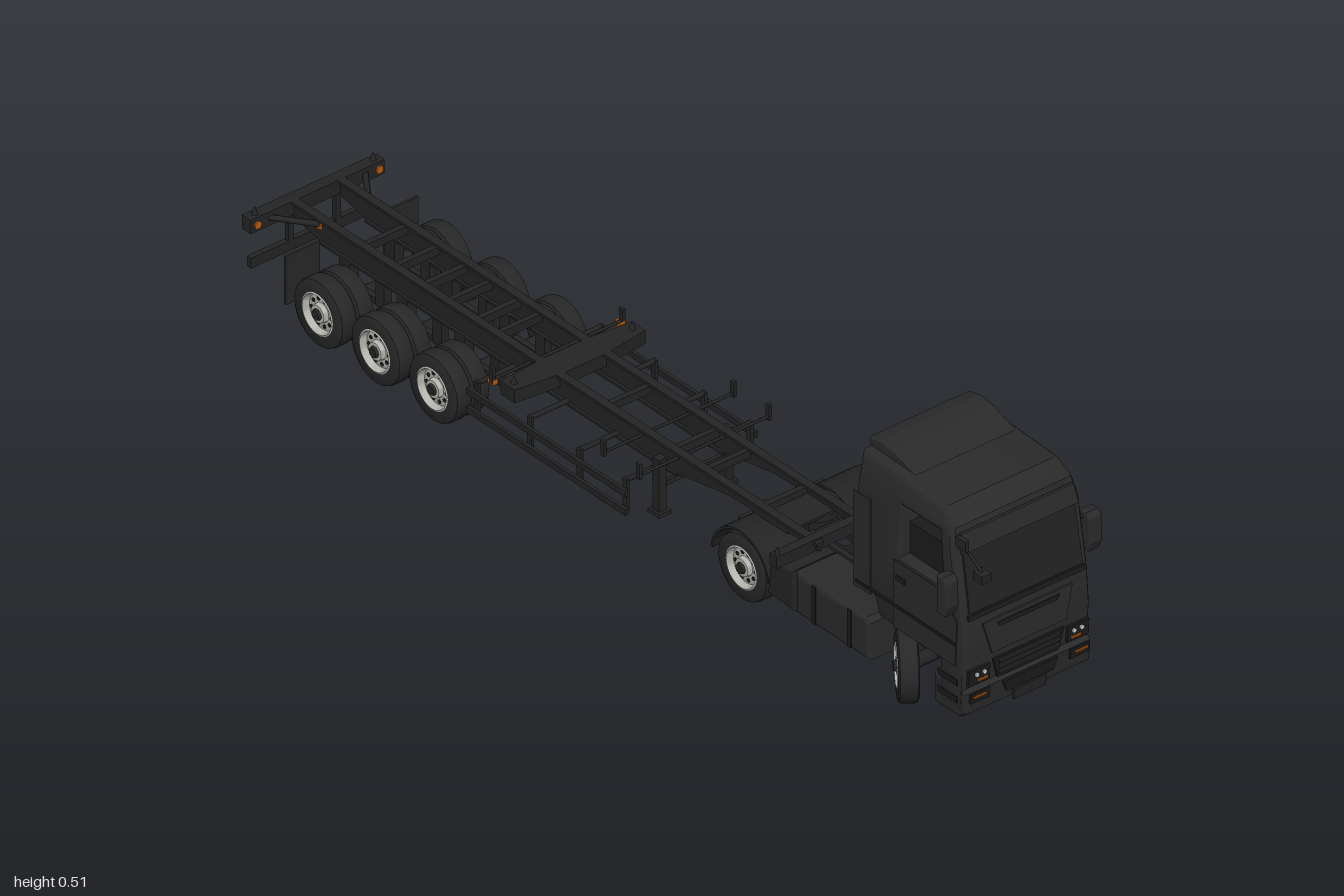
import * as THREE from 'three';
import { toCreasedNormals } from 'three/addons/utils/BufferGeometryUtils.js';

const mat = (name, color, side = THREE.FrontSide) => {
  const m = new THREE.MeshStandardMaterial({ color, side });
  m.name = name;
  return m;
};
const body = mat('charcoal paint', 0x2a2a2a);
const frame = mat('chassis black', 0x242424);
const rubber = mat('tyre rubber', 0x272727);
const glass = mat('dark glass', 0x222222);
const trim = mat('black trim', 0x1b1b1b);
const alloy = mat('wheel metal', 0xb4b4ad, THREE.DoubleSide);
const lamp = mat('lamp white', 0xd4d4d4);
const amber = mat('amber lens', 0xb8590f);

function add(parent, name, geo, material) {
  const m = new THREE.Mesh(geo, material);
  m.name = name;
  parent.add(m);
  return m;
}
function box(parent, name, material, x0, x1, y0, y1, z0, z1) {
  const g = new THREE.BoxGeometry(x1 - x0, y1 - y0, z1 - z0);
  g.translate((x0 + x1) / 2, (y0 + y1) / 2, (z0 + z1) / 2);
  return add(parent, name, g, material);
}
// the same box on both sides of the group's centre line
function pair(parent, name, material, x0, x1, y0, y1, z0, z1) {
  box(parent, name, material, x0, x1, y0, y1, z0, z1);
  box(parent, name, material, x0, x1, y0, y1, -z1, -z0);
}
function shapeOf(pts) {
  return new THREE.Shape(pts.map(p => new THREE.Vector2(...p)));
}
// side profile in x and y, extruded across z
function slab(pts, z0, z1, bevel = 0, hole) {
  const s = shapeOf(pts);
  if (hole) s.holes.push(shapeOf(hole));
  const g = new THREE.ExtrudeGeometry(s, {
    depth: z1 - z0 - 2 * bevel, bevelEnabled: bevel > 0, bevelSize: bevel,
    bevelThickness: bevel, bevelOffset: -bevel, bevelSegments: 3, curveSegments: 10,
  });
  return g.translate(0, 0, z0 + bevel);
}
function rod(parent, name, material, a, b, r) {
  const path = new THREE.LineCurve3(new THREE.Vector3(...a), new THREE.Vector3(...b));
  return add(parent, name, new THREE.TubeGeometry(path, 1, r, 8), material);
}

// wheel with one or two tyres; outward axis is z * side
function wheel(parent, name, x, z, side, yaw = 0, dual = false) {
  const g = new THREE.Group();
  g.name = name;
  const w = 0.0195;
  const tyre = [[0.043, -w], [0.062, -w], [0.068, -w * 0.85], [0.07, -w * 0.55],
    [0.07, w * 0.55], [0.068, w * 0.85], [0.062, w], [0.043, w]];
  const rim = [[0.034, -0.017], [0.044, -0.018], [0.04, 0], [0.044, 0.0195], [0.041, 0.021],
    [0.037, 0.007], [0.032, 0.009], [0.02, 0.009], [0.018, 0.019], [0, 0.02]];
  const lathe = pts => new THREE.LatheGeometry(pts.map(p => new THREE.Vector2(...p)), 32);
  const spin = new THREE.Group();
  add(spin, 'tyre', toCreasedNormals(lathe(tyre), 0.6), rubber);
  if (dual) add(spin, 'innerTyre', toCreasedNormals(lathe(tyre), 0.6).translate(0, -0.041, 0), rubber);
  add(spin, 'rim', toCreasedNormals(lathe(rim), 0.6), alloy);
  add(spin, 'hubCap', new THREE.CylinderGeometry(0.01, 0.012, 0.006, 16).translate(0, 0.022, 0), frame);
  for (let i = 0; i < 10; i++) {
    const a = i * Math.PI / 5;
    const hole = new THREE.CylinderGeometry(0.0042, 0.0042, 0.004, 10);
    add(spin, 'rimHole', hole.translate(Math.cos(a) * 0.028, 0.0085, Math.sin(a) * 0.028), trim);
  }
  spin.rotation.x = side * Math.PI / 2;
  g.add(spin);
  g.position.set(x, 0.07, z);
  g.rotation.y = yaw;
  parent.add(g);
}

// x of the cab's front at a given height
const FRONT = [[0.04, 0.968], [0.18, 0.975], [0.25, 0.97], [0.4, 0.944], [0.44, 0.934], [0.47, 0.9]];
function frontX(y) {
  for (let i = 1; i < FRONT.length; i++) {
    const [a, xa] = FRONT[i - 1], [b, xb] = FRONT[i];
    if (y <= b) return xa + (xb - xa) * (y - a) / (b - a);
  }
  return 0.9;
}
// thin panel on the cab's front, outline in z and y
function frontPanel(parent, name, material, pts, lift = 0.004) {
  const g = new THREE.ExtrudeGeometry(shapeOf(pts), { depth: 0.006, bevelEnabled: false });
  const p = g.attributes.position;
  for (let i = 0; i < p.count; i++) {
    const x = p.getX(i), y = p.getY(i);
    p.setXYZ(i, frontX(y) + p.getZ(i) - 0.006 + lift, y, -x);
  }
  g.computeVertexNormals();
  add(parent, name, g, material);
}
const trap = (wb, wt, y0, y1) => [[-wb, y0], [wb, y0], [wt, y1], [-wt, y1]];
const rect = (z0, z1, y0, y1) => [[z0, y0], [z1, y0], [z1, y1], [z0, y1]];

function buildCab(t) {
  // shell with wheel arch and open door windows, narrowed towards the roof
  const outline = [[0.665, 0.19], [0.715, 0.19], [0.73, 0.15], [0.9, 0.15], [0.9, 0.06],
    [0.966, 0.06], [0.975, 0.18], [0.97, 0.25], [0.944, 0.4], [0.934, 0.44], [0.9, 0.468],
    [0.78, 0.475], [0.665, 0.475], [0.665, 0.4]];
  const shell = slab(outline, -0.15, 0.15, 0.012, [[0.79, 0.31], [0.79, 0.418], [0.895, 0.418], [0.91, 0.31]]);
  const p = shell.attributes.position;
  for (let i = 0; i < p.count; i++) {
    const k = Math.max(0, p.getY(i) - 0.4) / 0.075;
    p.setZ(i, p.getZ(i) * (1 - 0.1 * k));
  }
  shell.computeVertexNormals();
  add(t, 'cabShell', toCreasedNormals(shell, 0.5), body);
  box(t, 'cabInterior', trim, 0.78, 0.92, 0.3, 0.378, -0.125, 0.125);

  // roof air deflector
  add(t, 'roofDeflector', slab([[0.67, 0.48], [0.8, 0.48], [0.735, 0.502], [0.7, 0.506], [0.67, 0.5]], -0.12, 0.12, 0.005), body);
  pair(t, 'deflectorFoot', frame, 0.68, 0.77, 0.47, 0.485, 0.09, 0.11);

  // windscreen, visor and front panels
  frontPanel(t, 'windscreen', glass, trap(0.134, 0.132, 0.27, 0.389));
  frontPanel(t, 'sunVisor', body, trap(0.137, 0.133, 0.392, 0.43), 0.009);
  frontPanel(t, 'wiperCover', trim, rect(-0.138, 0.138, 0.256, 0.266));
  frontPanel(t, 'bonnetPanel', body, trap(0.088, 0.106, 0.172, 0.24));
  frontPanel(t, 'bonnetSlot', trim, trap(0.068, 0.074, 0.222, 0.231), 0.006);
  frontPanel(t, 'grille', trim, trap(0.072, 0.084, 0.112, 0.156));
  for (const y of [0.122, 0.134, 0.146]) frontPanel(t, 'grilleBar', body, rect(-0.072, 0.072, y, y + 0.005), 0.008);

  // bumper and lamps
  const bumper = [[0.885, 0.045], [0.955, 0.045], [0.975, 0.06], [0.979, 0.105], [0.97, 0.112], [0.885, 0.112]];
  add(t, 'bumper', slab(bumper, -0.148, 0.148, 0.008), body);
  frontPanel(t, 'bumperIntake', trim, trap(0.055, 0.065, 0.078, 0.102), 0.012);
  frontPanel(t, 'bumperPlate', frame, rect(-0.038, 0.038, 0.052, 0.074), 0.012);
  for (const s of [-1, 1]) {
    frontPanel(t, 'headlampHousing', trim, rect(s * 0.117 - 0.025, s * 0.117 + 0.025, 0.118, 0.152), 0.005);
    frontPanel(t, 'fogLampHousing', trim, rect(s * 0.118 - 0.023, s * 0.118 + 0.023, 0.083, 0.104), 0.011);
    frontPanel(t, 'indicator', amber, rect(s * 0.11 - 0.012, s * 0.11 + 0.012, 0.1245, 0.1285), 0.008);
    frontPanel(t, 'fogIndicator', amber, rect(s * 0.12 - 0.015, s * 0.12 + 0.015, 0.094, 0.0975), 0.014);
    for (const z of [0.106, 0.124]) {
      const c = new THREE.CylinderGeometry(0.0045, 0.0045, 0.004, 16).rotateZ(Math.PI / 2);
      add(t, 'headlamp', c.translate(0.979, 0.14, s * z), lamp);
    }
    // mirrors
    const m = slab([[0.936, 0.28], [0.958, 0.278], [0.966, 0.3], [0.964, 0.35], [0.955, 0.362], [0.936, 0.36]], -0.0155, 0.0155, 0.005);
    add(t, 'sideMirror', m.translate(0, 0, s * 0.17), body);
    for (const y of [0.29, 0.35]) rod(t, 'mirrorArm', frame, [0.935, y, s * 0.14], [0.947, y, s * 0.165], 0.004);
    // door panel, handle, steps and arch lip
    const z0 = s > 0 ? 0.149 : -0.152;
    add(t, 'door', slab([[0.775, 0.155], [0.95, 0.155], [0.955, 0.25], [0.915, 0.3], [0.775, 0.3]], z0, z0 + 0.003), body);
    box(t, 'doorHandle', trim, 0.785, 0.81, 0.262, 0.272, s * 0.152 - 0.003, s * 0.152 + 0.003);
    box(t, 'sideTrim', trim, 0.67, 0.95, 0.2, 0.206, s * 0.152 - 0.002, s * 0.152 + 0.002);
    for (const y of [0.078, 0.115]) box(t, 'entryStep', trim, 0.9, 0.955, y, y + 0.012, s * 0.149 - 0.003, s * 0.149 + 0.003);
    add(t, 'sideFairing', slab([[0.662, 0.19], [0.71, 0.19], [0.71, 0.395], [0.662, 0.395]], z0, z0 + 0.003), body);
  }
  rod(t, 'kerbMirrorArm', frame, [0.94, 0.4, 0.122], [0.985, 0.362, 0.118], 0.003);
  box(t, 'kerbMirror', frame, 0.972, 0.998, 0.344, 0.362, 0.106, 0.128);
  box(t, 'topMirror', frame, 0.94, 0.968, 0.405, 0.428, 0.134, 0.142);
}

function buildTractor() {
  const t = new THREE.Group();
  t.name = 'tractor';
  t.position.z = -0.007;
  buildCab(t);
  // chassis
  pair(t, 'chassisRail', frame, 0.275, 0.93, 0.09, 0.132, 0.034, 0.046);
  for (const x of [0.28, 0.4, 0.52, 0.64]) box(t, 'crossMember', frame, x, x + 0.015, 0.095, 0.128, -0.04, 0.04);
  box(t, 'engine', frame, 0.68, 0.93, 0.07, 0.19, -0.07, 0.07);
  rod(t, 'driveShaft', frame, [0.35, 0.075, 0], [0.7, 0.1, 0], 0.01);
  for (const x of [0.35, 0.79]) rod(t, 'axle', frame, [x, 0.07, -0.125], [x, 0.07, 0.125], 0.014);
  add(t, 'differential', new THREE.SphereGeometry(0.032, 16, 10).translate(0.35, 0.072, 0), frame);
  // fifth wheel
  add(t, 'fifthWheel', new THREE.CylinderGeometry(0.05, 0.05, 0.012, 24).translate(0.37, 0.15, 0), frame);
  box(t, 'fifthWheelBase', frame, 0.33, 0.41, 0.13, 0.148, -0.045, 0.045);
  // side tanks and boxes
  const tank = slab([[0.51, 0.055], [0.72, 0.055], [0.72, 0.135], [0.71, 0.145], [0.51, 0.145]], -0.053, 0.053, 0.01);
  const locker = slab([[0.43, 0.06], [0.505, 0.055], [0.505, 0.143], [0.44, 0.143]], -0.052, 0.052, 0.006);
  for (const s of [-1, 1]) {
    add(t, 'fuelTank', tank.clone().translate(0, 0, s * 0.11), body);
    add(t, 'sideLocker', locker.clone().translate(0, 0, s * 0.11), frame);
    for (const x of [0.56, 0.66]) box(t, 'tankStrap', trim, x, x + 0.01, 0.06, 0.14, s * 0.163 - 0.002, s * 0.163 + 0.002);
    // rear mudguard arcs
    const arc = [];
    for (let i = 0; i <= 12; i++) arc.push([0.083, 0.1 + i / 12 * (Math.PI - 0.2)]);
    for (let i = 12; i >= 0; i--) arc.push([0.078, 0.1 + i / 12 * (Math.PI - 0.2)]);
    const pts = arc.map(([r, a]) => [0.35 + r * Math.cos(a), 0.07 + r * Math.sin(a)]);
    add(t, 'mudguard', slab(pts, s * 0.107 - 0.052, s * 0.107 + 0.052), frame);
    wheel(t, 'rearWheel', 0.35, s * 0.136, s, 0, true);
    wheel(t, 'frontWheel', 0.79, s * 0.132, s, -0.62);
    box(t, 'tailLamp', amber, 0.268, 0.274, 0.1, 0.115, s * 0.075 - 0.02, s * 0.075 + 0.02);
  }
  box(t, 'tailBar', frame, 0.274, 0.284, 0.095, 0.12, -0.1, 0.1);
  // air lines behind the cab
  rod(t, 'airLine', frame, [0.66, 0.2, 0.02], [0.52, 0.165, 0.03], 0.004);
  return t;
}

function buildTrailer() {
  const t = new THREE.Group();
  t.name = 'trailer';
  t.position.z = 0.04;
  // main beams with raised neck
  const web = [[-0.99, 0.15], [-0.9, 0.132], [0.11, 0.132], [0.25, 0.158], [0.51, 0.164], [0.51, 0.178], [-0.99, 0.178]];
  for (const s of [-1, 1]) {
    add(t, 'mainBeam', slab(web, s * 0.055 - 0.003, s * 0.055 + 0.003), frame);
    box(t, 'topFlange', frame, -0.99, 0.51, 0.176, 0.182, s * 0.055 - 0.009, s * 0.055 + 0.009);
    box(t, 'lowerFlange', frame, -0.9, 0.11, 0.13, 0.135, s * 0.055 - 0.009, s * 0.055 + 0.009);
  }
  for (const x of [-0.79, -0.7, -0.62, -0.55, -0.47, -0.41, -0.1, 0.09, 0.18, 0.34])
    box(t, 'crossMember', frame, x - 0.006, x + 0.006, 0.16, 0.177, -0.054, 0.054);
  // end bolsters and tapered middle bolster
  box(t, 'rearBolster', frame, -1, -0.975, 0.152, 0.182, -0.157, 0.16);
  box(t, 'frontBolster', frame, 0.48, 0.5, 0.16, 0.185, -0.13, 0.15);
  const diamond = new THREE.ExtrudeGeometry(shapeOf([[-0.275, -0.155], [-0.235, -0.155], [-0.222, -0.05],
    [-0.222, 0.05], [-0.235, 0.155], [-0.275, 0.155], [-0.284, 0.05], [-0.284, -0.05]]), { depth: 0.028, bevelEnabled: false });
  add(t, 'middleBolster', diamond.rotateX(-Math.PI / 2).translate(0, 0.154, 0), frame);
  for (const s of [-1, 1]) {
    rod(t, 'rearBrace', frame, [-0.98, 0.168, s * 0.115], [-0.9, 0.168, s * 0.057], 0.006);
    for (const x of [-0.988, -0.255, 0.49])
      add(t, 'containerLock', new THREE.ConeGeometry(0.007, 0.018, 10).translate(x, 0.19, s * 0.14), frame);
    box(t, 'sideMarker', amber, -0.91, -0.895, 0.16, 0.17, s * 0.06 - 0.003, s * 0.06 + 0.003);
    box(t, 'bolsterMarker', amber, -0.31, -0.295, 0.162, 0.172, s * 0.15 - 0.006, s * 0.15 + 0.006);
    const disc = new THREE.CylinderGeometry(0.008, 0.008, 0.004, 16).rotateZ(Math.PI / 2);
    add(t, 'frontMarker', disc.translate(-0.974, 0.166, s * 0.144), amber);
    box(t, 'tailLamp', amber, -1.003, -0.999, 0.158, 0.174, s * 0.12 - 0.025, s * 0.12 + 0.025);
  }
  // thin locking bars with upright ends
  for (const x of [-0.3, 0.015, 0.115]) {
    rod(t, 'lockBar', frame, [x, 0.172, -0.155], [x, 0.172, 0.155], 0.003);
    pair(t, 'lockBarEnd', frame, x - 0.005, x + 0.005, 0.165, 0.198, 0.15, 0.157);
  }
  // rear underrun bar and mud flaps
  box(t, 'underrunBar', frame, -0.998, -0.986, 0.068, 0.09, -0.15, 0.15);
  pair(t, 'underrunPost', frame, -0.996, -0.985, 0.085, 0.16, 0.05, 0.062);
  pair(t, 'mudFlap', rubber, -0.884, -0.879, 0.045, 0.15, 0.077, 0.157);
  // axles, wheels and suspension
  for (const x of [-0.79, -0.628, -0.465]) {
    rod(t, 'axle', frame, [x, 0.07, -0.13], [x, 0.07, 0.13], 0.013);
    for (const s of [-1, 1]) wheel(t, 'trailerWheel', x, s * 0.138, s, 0, true);
    pair(t, 'springHanger', frame, x + 0.05, x + 0.075, 0.075, 0.135, 0.045, 0.062);
    pair(t, 'trailingArm', frame, x - 0.05, x + 0.07, 0.075, 0.088, 0.048, 0.06);
    pair(t, 'airSpring', frame, x - 0.05, x - 0.02, 0.088, 0.135, 0.042, 0.064);
  }
  // side guards
  for (const y of [0.068, 0.108]) pair(t, 'sideGuardRail', frame, -0.37, 0.08, y, y + 0.013, 0.15, 0.157);
  for (const x of [-0.35, -0.2, -0.06, 0.07]) {
    pair(t, 'sideGuardPost', frame, x - 0.006, x + 0.006, 0.068, 0.14, 0.143, 0.15);
    for (const s of [-1, 1]) rod(t, 'sideGuardArm', frame, [x, 0.137, s * 0.055], [x, 0.137, s * 0.147], 0.005);
  }
  // landing legs
  pair(t, 'landingLeg', frame, 0.075, 0.093, 0.052, 0.165, 0.07, 0.088);
  pair(t, 'landingFoot', frame, 0.068, 0.1, 0.045, 0.053, 0.064, 0.094);
  box(t, 'landingBrace', frame, 0.08, 0.088, 0.1, 0.11, -0.075, 0.075);
  // kingpin plate
  box(t, 'kingpinPlate', frame, 0.32, 0.42, 0.157, 0.163, -0.058, 0.058);
  return t;
}

export function createModel() {
  const model = new THREE.Group();
  model.name = 'truckWithContainerTrailer';
  model.add(buildTractor(), buildTrailer());
  return model;
}
